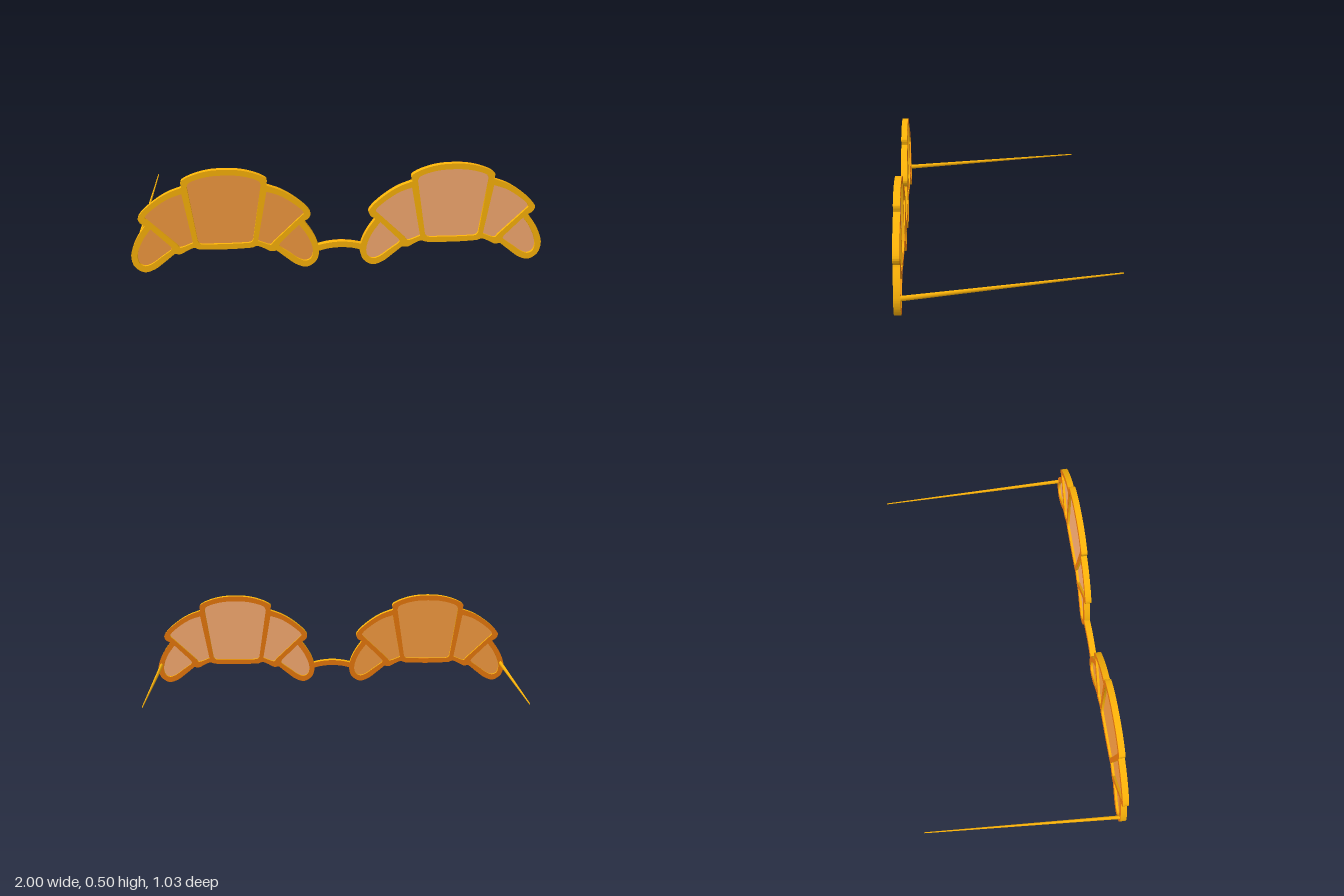
import * as THREE from 'three';
import { toCreasedNormals } from 'three/addons/utils/BufferGeometryUtils.js';

const FRAME_Z = 0.481, FRAME_DEPTH = 0.032, BACKING = 0.001;
const mat = (color) => new THREE.MeshStandardMaterial({ color });

// smooth curve through a few [x, y] points
function smooth(points, n = 8) {
  const curve = new THREE.CatmullRomCurve3(
    points.map(([x, y]) => new THREE.Vector3(x, y, 0)), false, 'centripetal');
  return curve.getPoints(n * points.length).map((p) => new THREE.Vector2(p.x, p.y));
}

const mirror = (pts) => pts.map((p) => new THREE.Vector2(-p.x, p.y)).reverse();

// join a right half (top to bottom, both ends on x = 0) with its mirror image
function fullLoop(half) {
  return [...half, ...mirror(half).slice(1, -1)];
}

function slab(shape, depth, z, material, name) {
  const geo = new THREE.ExtrudeGeometry(shape, { depth, bevelEnabled: false });
  const mesh = new THREE.Mesh(toCreasedNormals(geo, 0.6), material);
  mesh.position.z = z;
  mesh.name = name;
  return mesh;
}

// scalloped crescent outline: middle, shoulder and tip lobes, then the underside;
// counter-clockwise, so that the clockwise window openings get inward walls
const outline = fullLoop([
  ...smooth([[0, 0.505], [0.06, 0.502], [0.12, 0.49], [0.18, 0.467], [0.202, 0.45], [0.2, 0.425]]),
  ...smooth([[0.2, 0.422], [0.27, 0.395], [0.34, 0.35], [0.395, 0.3], [0.409, 0.275],
    [0.4, 0.252], [0.378, 0.238]]),
  ...smooth([[0.38, 0.233], [0.415, 0.182], [0.44, 0.13], [0.45, 0.085], [0.436, 0.032],
    [0.39, 0.002], [0.34, 0.016], [0.29, 0.053], [0.245, 0.09]]),
  ...smooth([[0.24, 0.09], [0.215, 0.089], [0.18, 0.107], [0.15, 0.118], [0.13, 0.111]], 5),
  ...smooth([[0.125, 0.11], [0.06, 0.107], [0, 0.106]], 4),
]).reverse();

// window openings
const middlePane = fullLoop([
  ...smooth([[0, 0.477], [0.06, 0.474], [0.12, 0.462], [0.165, 0.443], [0.174, 0.425]], 6),
  ...smooth([[0.132, 0.15], [0.122, 0.138], [0.06, 0.134], [0, 0.133]], 4),
]);
const shoulderPane = [
  ...smooth([[0.2, 0.391], [0.26, 0.37], [0.32, 0.333], [0.37, 0.29], [0.376, 0.276], [0.366, 0.265]], 6),
  ...smooth([[0.23, 0.136], [0.218, 0.122], [0.2, 0.125], [0.155, 0.143]], 4),
];
const tipPane = [
  ...smooth([[0.353, 0.22], [0.39, 0.168], [0.414, 0.115], [0.42, 0.075], [0.41, 0.045],
    [0.385, 0.033], [0.35, 0.045], [0.31, 0.074], [0.262, 0.108]], 6),
  ...smooth([[0.256, 0.118], [0.262, 0.13]], 2),
];
const panes = [
  ['middleLens', middlePane],
  ['shoulderLens', shoulderPane], ['shoulderLens', mirror(shoulderPane)],
  ['tipLens', tipPane], ['tipLens', mirror(tipPane)],
];

export function createModel() {
  const model = new THREE.Group();
  model.name = 'crescentGlasses';
  const gold = mat(0xffb508);
  const amber = mat(0xe8780c);

  // gold body with a very thin amber layer on its back
  function backedSlab(shape, name) {
    const part = new THREE.Group();
    part.name = name;
    part.add(
      slab(shape, FRAME_DEPTH, FRAME_Z + BACKING, gold, name + 'Body'),
      slab(shape, BACKING, FRAME_Z, amber, name + 'Backing'));
    return part;
  }

  for (const side of [-1, 1]) {
    const label = side > 0 ? 'left' : 'right';
    const eye = new THREE.Group();
    eye.name = label + 'Eyepiece';
    eye.position.x = side * 0.55;

    // rim with window openings
    const rim = new THREE.Shape(outline);
    rim.holes = panes.map(([, pts]) => new THREE.Path(pts));
    eye.add(backedSlab(rim, 'rim'));

    // thin tinted lenses halfway through the rim
    const tint = mat(side > 0 ? 0xfbad72 : 0xf79c40);
    for (const [name, pts] of panes) {
      eye.add(slab(new THREE.Shape(pts), 0.006, FRAME_Z + FRAME_DEPTH / 2 - 0.003, tint, name));
    }
    model.add(eye);

    // flattened, tapering temple arm, leaning inward and rising to the back
    const from = new THREE.Vector3(side * 0.982, 0.1, FRAME_Z + 0.005);
    const to = new THREE.Vector3(side * 0.934, 0.178, -0.513);
    const dir = to.clone().sub(from);
    const arm = new THREE.Mesh(new THREE.CylinderGeometry(0.0035, 0.0125, dir.length(), 20), gold);
    arm.scale.x = 0.75;
    arm.position.copy(from).add(to).multiplyScalar(0.5);
    arm.quaternion.setFromUnitVectors(new THREE.Vector3(0, 1, 0), dir.normalize());
    arm.name = label + 'Temple';
    model.add(arm);
  }

  // arched nose bridge
  const bridge = new THREE.Shape([
    ...smooth([[-0.112, 0.11], [-0.06, 0.121], [0, 0.126], [0.06, 0.121], [0.112, 0.11]], 5),
    ...smooth([[0.108, 0.08], [0.06, 0.092], [0, 0.097], [-0.06, 0.092], [-0.108, 0.08]], 5),
  ]);
  model.add(backedSlab(bridge, 'bridge'));

  return model;
}
